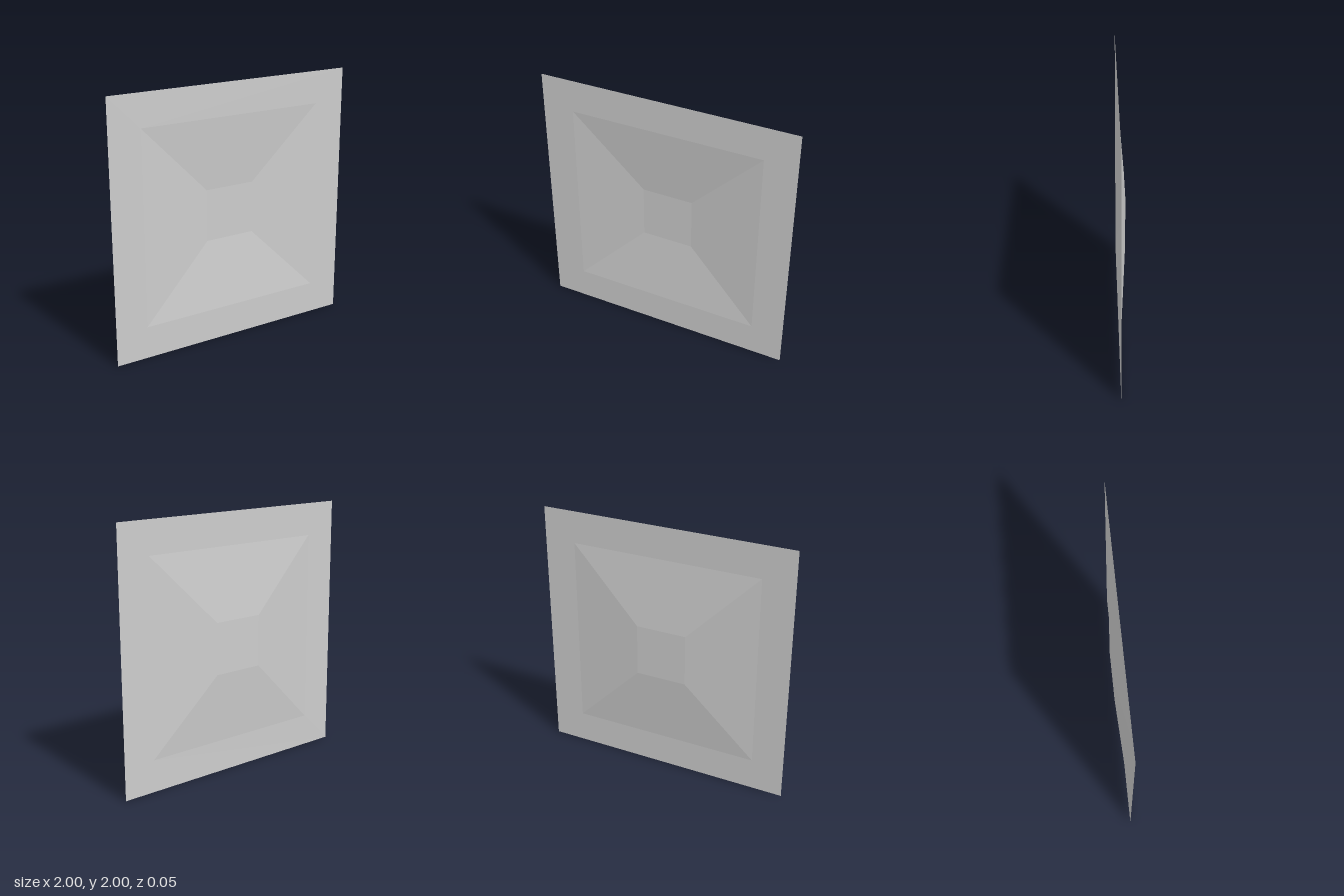
import * as THREE from 'three';

const OUTER = 1;      // half width of the sheet
const RIM = 0.75;     // half width of the recess opening
const FLOOR = 0.2;    // half width of the recess floor
const DEPTH = 0.05;   // depth of the recess

// Corner points of a centred square
function square(half) {
  return [[-half, -half], [half, -half], [half, half], [-half, half]]
    .map(([x, y]) => new THREE.Vector2(x, y));
}

export function createModel() {
  const model = new THREE.Group();
  model.name = 'recessedPanel';

  const grey = new THREE.MeshStandardMaterial({ color: 0xcccccc, side: THREE.DoubleSide });
  grey.name = 'lightGrey';

  const add = (name, geometry, z) => {
    const mesh = new THREE.Mesh(geometry, grey);
    mesh.name = name;
    mesh.position.set(0, 1, z);
    model.add(mesh);
  };

  // Flat border around the square opening
  const border = new THREE.Shape(square(OUTER));
  border.holes.push(new THREE.Path(square(RIM).reverse()));
  add('border', new THREE.ShapeGeometry(border), DEPTH / 2);

  // Four sloping walls: an open four-sided frustum, narrowing to the back
  const walls = new THREE.CylinderGeometry(
    RIM * Math.SQRT2, FLOOR * Math.SQRT2, DEPTH, 4, 1, true
  ).rotateY(Math.PI / 4).rotateX(Math.PI / 2).toNonIndexed();
  walls.computeVertexNormals();
  add('slopingWalls', walls, 0);

  // Small flat floor of the recess
  add('recessFloor', new THREE.PlaneGeometry(2 * FLOOR, 2 * FLOOR), -DEPTH / 2);

  return model;
}
